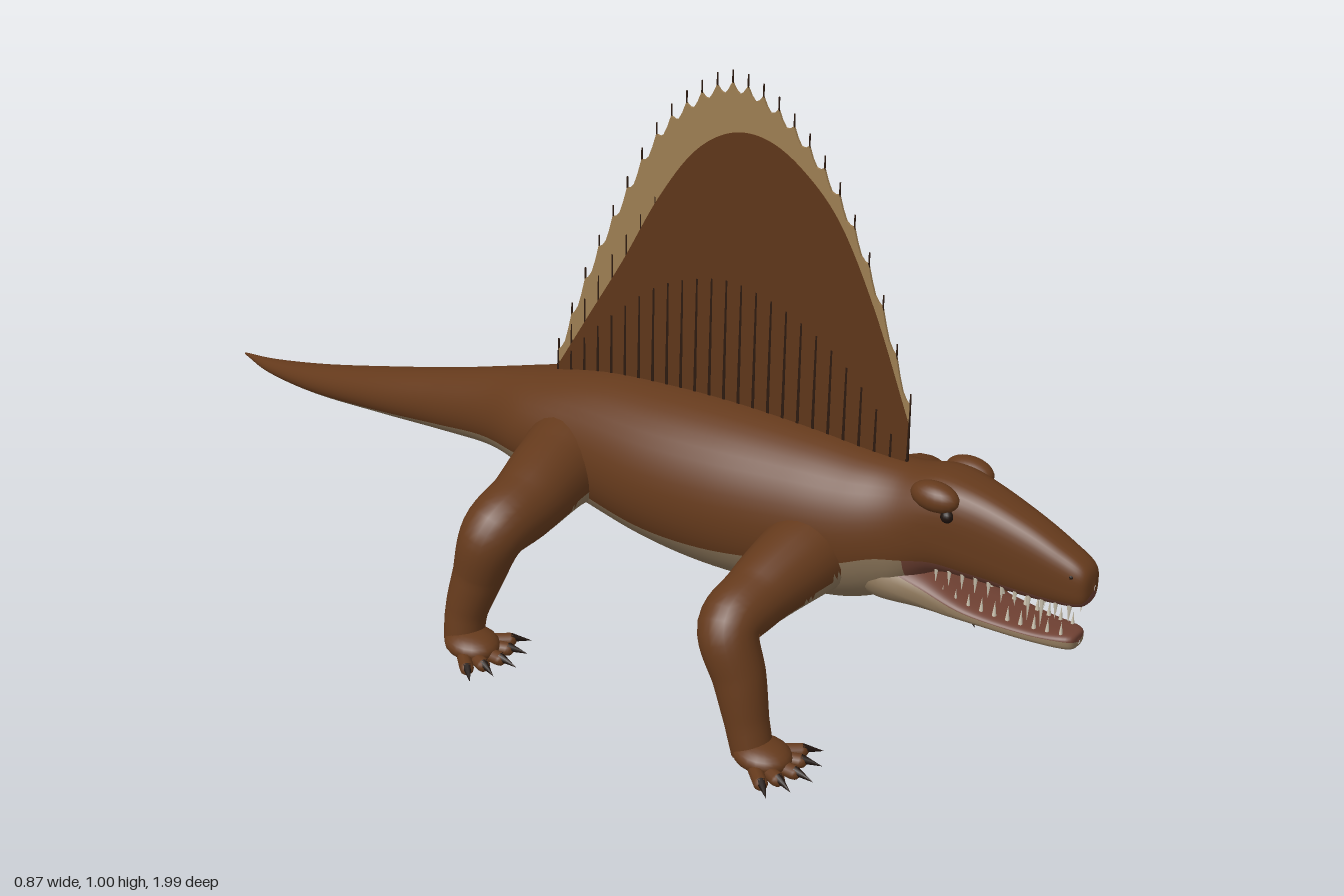
import * as THREE from 'three';
import { mergeVertices } from 'three/addons/utils/BufferGeometryUtils.js';

const mat = (name, color, side = THREE.FrontSide) => {
  const m = new THREE.MeshStandardMaterial({ color, side });
  m.name = name;
  return m;
};
const V = (x, y, z) => new THREE.Vector3(x, y, z);

export function createModel() {
  const model = new THREE.Group();
  const hide = mat('brown hide', 0x653a1c);
  const belly = mat('tan belly', 0x8c765a);
  const sailBrown = mat('sail brown', 0x5e3619);
  const sailTan = mat('sail edge tan', 0x9c7d52);
  const spineDark = mat('dark spine', 0x2e1b10);
  const clawDark = mat('dark claw', 0x1f130d);
  const tooth = mat('tooth ivory', 0xcfc6b2);
  const mouth = mat('mouth lining', 0x6e4032);

  const add = (parent, name, geo, material) => {
    const mesh = new THREE.Mesh(geo, material);
    mesh.name = name;
    parent.add(mesh);
    return mesh;
  };

  // Indexed geometry with one group per list of triangles
  const grouped = (geo, lists) => {
    geo.setIndex(lists.flat());
    geo.clearGroups();
    let start = 0;
    lists.forEach((list, k) => {
      geo.addGroup(start, list.length, k);
      start += list.length;
    });
    geo.computeVertexNormals();
    return geo;
  };

  // Loft front to back. Row: z, top, bottom, half width, centre x, share of height that is underside
  function loft(rows, steps, pick, lists) {
    const spline = f => new THREE.CatmullRomCurve3(rows.map(f), false, 'catmullrom', 0.5);
    const a = spline(r => V(r[0], r[1], r[2])), b = spline(r => V(r[3], r[4], r[5]));
    const low = 14, N = 40, pos = [];
    for (let i = 0; i <= steps; i++) {
      const p = a.getPoint(i / steps), q = b.getPoint(i / steps);
      const cy = (p.y + p.z) / 2, h = Math.max((p.y - p.z) / 2, 0.001), w = Math.max(q.x, 0.001);
      const half = Math.acos(1 - 2 * THREE.MathUtils.clamp(q.z, 0.01, 0.95));
      const e = 1 - 0.3 * THREE.MathUtils.smoothstep(p.x, 0.62, 0.78);
      for (let j = 0; j < N; j++) {
        const ang = j <= low ? -Math.PI / 2 - half + 2 * half * j / low
          : -Math.PI / 2 + half + (2 * Math.PI - 2 * half) * (j - low) / (N - low);
        const c = Math.cos(ang), s = Math.sin(ang);
        pos.push(q.y + w * Math.sign(c) * Math.abs(c) ** e, cy + h * Math.sign(s) * Math.abs(s) ** e, p.x);
      }
    }
    for (let i = 0; i < steps; i++) for (let j = 0; j < N; j++) {
      const k = (j + 1) % N, A = i * N + j, B = i * N + k, C = A + N, D = B + N;
      lists[pick(pos[A * 3 + 2], j < low)].push(A, C, B, B, C, D);
    }
    const geo = new THREE.BufferGeometry();
    geo.setAttribute('position', new THREE.Float32BufferAttribute(pos, 3));
    return grouped(geo, lists);
  }

  // Head, trunk and tail in one skin
  const bodyRows = [
    [0.992, 0.335, 0.325, 0.001, 0, 0.2], [0.982, 0.365, 0.298, 0.026, 0, 0.2],
    [0.94, 0.388, 0.288, 0.036, 0, 0.2], [0.88, 0.413, 0.282, 0.044, 0, 0.2],
    [0.80, 0.437, 0.28, 0.055, 0, 0.2], [0.73, 0.446, 0.27, 0.07, 0, 0.25],
    [0.66, 0.433, 0.205, 0.085, 0, 0.4], [0.58, 0.43, 0.165, 0.108, 0, 0.38],
    [0.48, 0.432, 0.145, 0.125, 0, 0.34], [0.34, 0.43, 0.132, 0.14, 0, 0.28],
    [0.2, 0.42, 0.135, 0.14, 0, 0.25], [0.05, 0.4, 0.155, 0.122, 0, 0.28],
    [-0.08, 0.365, 0.173, 0.105, 0, 0.34], [-0.19, 0.33, 0.177, 0.07, 0.002, 0.28],
    [-0.32, 0.285, 0.162, 0.056, 0.007, 0.24], [-0.5, 0.225, 0.135, 0.047, 0.02, 0.2],
    [-0.7, 0.157, 0.098, 0.033, 0.048, 0.18], [-0.88, 0.096, 0.067, 0.017, 0.092, 0.15],
    [-1.0, 0.06, 0.055, 0.001, 0.13, 0.1],
  ];
  add(model, 'body', loft(bodyRows, 150, (z, under) => (under ? (z > 0.7 ? 2 : 1) : 0), [[], [], []]), [hide, belly, mouth]);

  // Lower jaw, lined on top
  const jawRows = [
    [0.975, 0.23, 0.222, 0.001, 0, 0.6], [0.965, 0.243, 0.216, 0.026, 0, 0.6],
    [0.9, 0.238, 0.213, 0.04, 0, 0.6], [0.8, 0.243, 0.211, 0.053, 0, 0.6],
    [0.72, 0.272, 0.205, 0.066, 0, 0.7], [0.64, 0.29, 0.19, 0.075, 0, 0.8], [0.58, 0.27, 0.2, 0.05, 0, 0.8],
  ];
  add(model, 'lowerJaw', loft(jawRows, 40, (z, under) => (under ? 1 : 0), [[], []]), [mouth, belly]);

  // Teeth in both jaws, with long fangs near the front
  const teeth = new THREE.Group();
  teeth.name = 'teeth';
  model.add(teeth);
  for (const s of [-1, 1]) for (let i = 0; i < 11; i++) {
    const z = 0.963 - i * 0.022, x = s * (0.02 + (0.965 - z) * 0.12);
    const long = i === 2 || i === 3 ? 0.058 : 0.036;
    const upper = add(teeth, 'upperTooth', new THREE.ConeGeometry(0.005, long, 6), tooth);
    upper.rotation.x = Math.PI;
    upper.position.set(x, 0.302 - long / 2, z);
    const lower = add(teeth, 'lowerTooth', new THREE.ConeGeometry(0.0045, 0.03, 6), tooth);
    lower.position.set(x * 0.92, 0.248, z - 0.011);
  }

  // Brow ridges, eyes and nostrils
  for (const s of [-1, 1]) {
    const brow = add(model, 'brow', new THREE.SphereGeometry(1, 20, 14), hide);
    brow.scale.set(0.025, 0.024, 0.042);
    brow.position.set(s * 0.052, 0.421, 0.735);
    const eye = add(model, 'eye', new THREE.SphereGeometry(0.011, 14, 10), clawDark);
    eye.position.set(s * 0.058, 0.398, 0.762);
    const nostril = add(model, 'nostril', new THREE.SphereGeometry(0.005, 8, 6), clawDark);
    nostril.position.set(s * 0.027, 0.352, 0.965);
  }

  // Sail: spine tops and brown membrane heights at even steps of z
  const sailCurve = new THREE.CatmullRomCurve3([
    [0.55, 0.5], [0.73, 0.67], [0.86, 0.80], [0.94, 0.87], [0.99, 0.905], [1.005, 0.9],
    [0.965, 0.85], [0.89, 0.75], [0.76, 0.62], [0.61, 0.5], [0.43, 0.38],
  ].map(([tip, skin], i) => V(0.65 - i * 0.071, tip, skin)), false, 'catmullrom', 0.5);
  const count = 25, steps = (count - 1) * 4;
  const sailPanel = (name, heightAt, depth, material) => {
    const shape = new THREE.Shape();
    shape.moveTo(-0.06, 0.34);
    shape.lineTo(0.65, 0.38);
    for (let i = 0; i <= steps; i++) {
      const p = sailCurve.getPoint(i / steps);
      shape.lineTo(p.x, heightAt(p, i));
    }
    const geo = new THREE.ExtrudeGeometry(shape, { depth, bevelEnabled: false });
    geo.translate(0, 0, -depth / 2).rotateY(-Math.PI / 2);
    add(model, name, geo, material);
  };
  sailPanel('sailMembrane', p => p.z, 0.006, sailBrown);
  sailPanel('sailEdge', (p, i) => Math.max(p.z, p.y - 0.02 - [0, 0.012, 0.018, 0.012][i % 4]), 0.004, sailTan);
  for (let i = 0; i < count; i++) {
    const p = sailCurve.getPoint(i / (count - 1)), len = p.y - 0.34;
    const spine = add(model, 'sailSpine', new THREE.CylinderGeometry(0.0014, 0.0052, len, 6), spineDark);
    spine.position.set(0, 0.34 + len / 2, p.x);
  }

  // Tapered tube through points [x, y, z, radius]; tan skin under the inner part
  function limb(parent, name, pts, s) {
    const curve = new THREE.CatmullRomCurve3(pts.map(p => V(s * p[0], p[1], p[2])));
    const rings = 48, sides = 24;
    let geo = new THREE.TubeGeometry(curve, rings, 1, sides);
    const pos = geo.attributes.position, v = V();
    for (let i = 0; i < pos.count; i++) {
      const u = Math.floor(i / (sides + 1)) / rings, c = curve.getPointAt(u);
      const k = curve.getUtoTmapping(u) * (pts.length - 1), n = Math.min(Math.floor(k), pts.length - 2);
      const r = THREE.MathUtils.lerp(pts[n][3], pts[n + 1][3], k - n);
      v.fromBufferAttribute(pos, i).sub(c).multiplyScalar(r).add(c);
      pos.setXYZ(i, v.x, v.y, v.z);
    }
    geo.deleteAttribute('uv');
    geo.deleteAttribute('normal');
    geo = mergeVertices(geo, 1e-5);
    const q = geo.attributes.position, idx = geo.index.array, lists = [[], []];
    for (let i = 0; i < idx.length; i += 3) {
      const t = [idx[i], idx[i + 1], idx[i + 2]];
      const x = t.reduce((sum, j) => sum + Math.abs(q.getX(j)), 0) / 3;
      const y = t.reduce((sum, j) => sum + q.getY(j), 0) / 3;
      lists[x < 0.235 && y < 0.25 - (x - 0.1) * 0.4 ? 1 : 0].push(...t);
    }
    add(parent, name, grouped(geo, lists), [hide, belly]);
  }

  // Foot with five splayed toes and claws
  function foot(parent, s, x, z) {
    const g = new THREE.Group();
    g.name = 'foot';
    g.position.set(s * x, 0, z);
    parent.add(g);
    const palm = add(g, 'palm', new THREE.SphereGeometry(1, 20, 14), hide);
    palm.scale.set(0.043, 0.024, 0.05);
    palm.position.set(0, 0.025, 0.005);
    for (let i = -2; i <= 2; i++) {
      const toe = new THREE.Group();
      toe.name = 'toe';
      toe.rotation.y = s * i * 0.36;
      toe.position.set(s * i * 0.012, 0.017, 0.005);
      g.add(toe);
      const len = 0.066 - Math.abs(i) * 0.006;
      const digit = add(toe, 'digit', new THREE.CapsuleGeometry(0.012, len - 0.012, 4, 10), hide);
      digit.rotation.x = Math.PI / 2;
      digit.position.z = len / 2;
      const claw = add(toe, 'claw', new THREE.ConeGeometry(0.008, 0.036, 8), clawDark);
      claw.rotation.x = Math.PI / 2 + 0.2;
      claw.position.set(0, 0.001, len + 0.013);
    }
  }

  // Four sprawling legs
  const frontPath = [[0.03, 0.265, 0.53, 0.08], [0.13, 0.255, 0.525, 0.068], [0.22, 0.238, 0.52, 0.055],
    [0.29, 0.215, 0.52, 0.05], [0.3, 0.14, 0.55, 0.043], [0.305, 0.07, 0.57, 0.036], [0.308, 0.02, 0.585, 0.034]];
  const hindPath = [[0.03, 0.26, 0.02, 0.095], [0.13, 0.256, 0.035, 0.075], [0.23, 0.243, 0.052, 0.063],
    [0.305, 0.222, 0.05, 0.056], [0.325, 0.14, 0.03, 0.044], [0.34, 0.07, 0.015, 0.036], [0.348, 0.02, 0.015, 0.034]];
  for (const s of [-1, 1]) {
    const side = s > 0 ? 'left' : 'right';
    for (const [end, path, x, z] of [['Front', frontPath, 0.31, 0.6], ['Hind', hindPath, 0.355, 0.035]]) {
      const leg = new THREE.Group();
      leg.name = side + end + 'Leg';
      model.add(leg);
      limb(leg, 'limb', path, s);
      foot(leg, s, x, z);
    }
  }
  return model;
}
